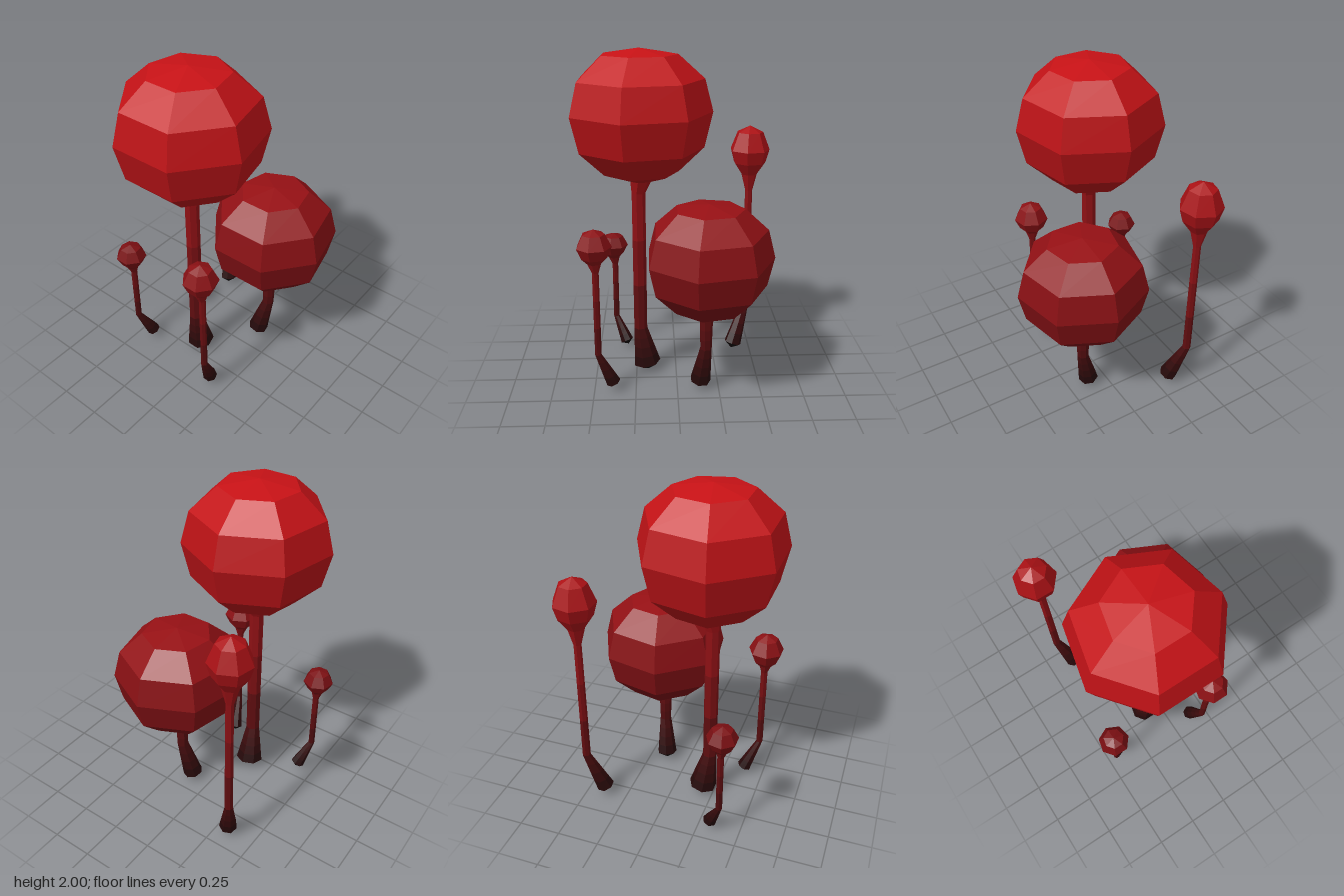
import * as THREE from 'three';

const SIDES = 7;
const UP = new THREE.Vector3(0, 1, 0);
const v = (x, y, z) => new THREE.Vector3(x, y, z);

// A ring of the loft: centre, radius and the axis it is square to
const ring = (c, r, axis = UP) => ({ c, r, axis });

// Skin a list of rings, bottom to top; radius 0 makes a point
function loft(name, rings, color) {
  const loops = rings.map(({ c, r, axis }) => {
    const q = new THREE.Quaternion().setFromUnitVectors(UP, axis);
    return Array.from({ length: SIDES }, (_, j) => {
      const a = (j / SIDES) * Math.PI * 2;
      return v(Math.cos(a) * r, 0, Math.sin(a) * r).applyQuaternion(q).add(c);
    });
  });
  const pts = [];
  for (let i = 0; i < loops.length - 1; i++) {
    for (let j = 0; j < SIDES; j++) {
      const k = (j + 1) % SIDES;
      const [a, b, c, d] = [loops[i][j], loops[i][k], loops[i + 1][j], loops[i + 1][k]];
      if (rings[i].r > 0) pts.push(a, c, b);
      if (rings[i + 1].r > 0) pts.push(b, c, d);
    }
  }
  const geo = new THREE.BufferGeometry().setFromPoints(pts);
  geo.computeVertexNormals();
  const mesh = new THREE.Mesh(geo, new THREE.MeshStandardMaterial({ color, flatShading: true }));
  mesh.name = name;
  return mesh;
}

// Colour fades from black at the ground to red at the top
const STOPS = [[0, 0x080808], [0.3, 0x4c0c0e], [1, 0x8a1014], [2, 0xc81216]];
function tint(y) {
  let i = 0;
  while (i < STOPS.length - 2 && y > STOPS[i + 1][0]) i++;
  const [y0, c0] = STOPS[i], [y1, c1] = STOPS[i + 1];
  return new THREE.Color(c0).lerp(new THREE.Color(c1), (y - y0) / (y1 - y0));
}

// foot: [x, y, z, r]; knee: [x, y, z, r]; neck: [y, r]
// bulb: x, z and a profile of [y, r] from the neck up
function stalk(name, { foot, knee, neck, bulb }) {
  const g = new THREE.Group();
  g.name = name;
  const f = v(...foot), k = v(...knee);
  const axis = k.clone().sub(f).normalize();

  // Foot: a pointed base and a tapering shank, darkest at the ground
  const tip = f.clone().addScaledVector(axis, -0.65 * foot[3]);
  const bands = 4;
  const shank = t => ring(f.clone().lerp(k, t), foot[3] + (knee[3] - foot[3]) * t,
    axis.clone().lerp(UP, t).normalize());
  g.add(loft('footTip', [ring(tip, 0), shank(0)], tint(0.01)));
  for (let i = 0; i < bands; i++) {
    const y = foot[1] + (knee[1] - foot[1]) * (i + 0.5) / bands;
    g.add(loft('foot', [shank(i / bands), shank((i + 1) / bands)], tint(y * 0.8)));
  }

  // Stem: straight up from the knee to the neck
  const stemAt = t => ring(v(knee[0], knee[1] + (neck[0] - knee[1]) * t, knee[2]),
    knee[3] + (neck[1] - knee[3]) * t);
  for (let i = 0; i < 3; i++) {
    g.add(loft('stem', [stemAt(i / 3), stemAt((i + 1) / 3)],
      tint(knee[1] + (neck[0] - knee[1]) * (i + 0.5) / 3)));
  }

  // Bulb: flared neck and rounded head, coloured by height
  const head = [stemAt(1), ...bulb.profile.map(([y, r]) => ring(v(bulb.x, y, bulb.z), r))];
  for (let i = 0; i < head.length - 1; i++) {
    g.add(loft(i ? 'bulb' : 'neck', [head[i], head[i + 1]], tint((head[i].c.y + head[i + 1].c.y) / 2)));
  }
  return g;
}

export function createModel() {
  const model = new THREE.Group();
  model.name = 'bulbStalks';
  model.add(
    stalk('tallLargeStalk', {
      foot: [-0.184, 0.055, -0.11, 0.085], knee: [-0.222, 0.3, -0.105, 0.042], neck: [1.17, 0.042],
      bulb: { x: -0.207, z: -0.105, profile: [[1.245, 0.065], [1.3, 0.225], [1.44, 0.372],
        [1.645, 0.42], [1.83, 0.372], [1.965, 0.222], [2, 0]] },
    }),
    stalk('shortLargeStalk', {
      foot: [0.14, 0.05, 0.118, 0.062], knee: [0.167, 0.29, 0.17, 0.035], neck: [0.48, 0.04],
      bulb: { x: 0.178, z: 0.172, profile: [[0.505, 0.06], [0.56, 0.21], [0.69, 0.338],
        [0.86, 0.377], [1.025, 0.335], [1.15, 0.2], [1.18, 0]] },
    }),
    stalk('tallThinStalk', {
      foot: [0.385, 0.06, -0.33, 0.055], knee: [0.468, 0.33, -0.39, 0.025], neck: [1.1, 0.023],
      bulb: { x: 0.467, z: -0.392, profile: [[1.205, 0.05], [1.28, 0.102], [1.36, 0.124],
        [1.47, 0.08], [1.51, 0]] },
    }),
    stalk('middleThinStalk', {
      foot: [-0.385, 0.058, 0.138, 0.044], knee: [-0.468, 0.26, 0.168, 0.02], neck: [0.78, 0.02],
      bulb: { x: -0.472, z: 0.165, profile: [[0.835, 0.04], [0.87, 0.075], [0.935, 0.103],
        [1.01, 0.066], [1.038, 0]] },
    }),
    stalk('shortThinStalk', {
      foot: [-0.32, 0.055, -0.4, 0.042], knee: [-0.388, 0.215, -0.455, 0.019], neck: [0.59, 0.019],
      bulb: { x: -0.394, z: -0.457, profile: [[0.635, 0.035], [0.665, 0.062], [0.72, 0.091],
        [0.78, 0.06], [0.8, 0]] },
    }),
  );
  return model;
}
